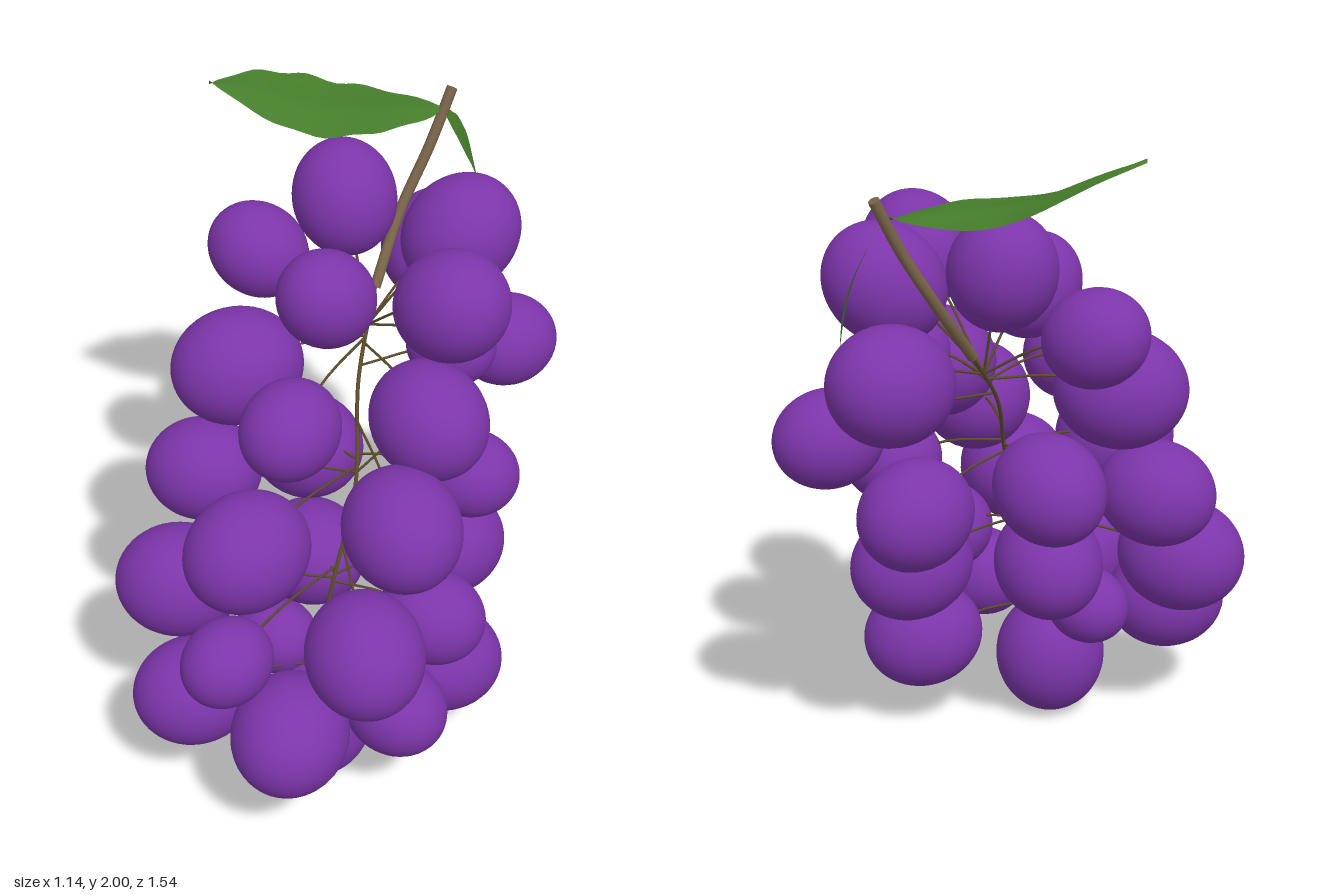
import * as THREE from 'three';

const V = (x, y, z) => new THREE.Vector3(x, y, z);

function material(name, color, side = THREE.FrontSide) {
  const m = new THREE.MeshStandardMaterial({ color, side });
  m.name = name;
  return m;
}

// Berries: centre x, y, z and radius
const BERRIES = [
  [-0.22, 1.67, -0.275, 0.152],
  [-0.42, 1.49, -0.12, 0.137],
  [-0.06, 1.53, 0.01, 0.14],
  [0.095, 1.6, -0.415, 0.163],
  [0.29, 1.59, -0.105, 0.158],
  [-0.11, 1.4, -0.59, 0.166],
  [0.16, 1.17, -0.58, 0.141],
  [0.19, 1.34, -0.25, 0.118],
  [-0.31, 1.25, 0.115, 0.173],
  [0.005, 1.245, 0.255, 0.141],
  [0.27, 1.23, -0.04, 0.166],
  [0.36, 1.03, 0.2, 0.17],
  [-0.365, 0.91, 0.22, 0.156],
  [0, 0.925, 0.45, 0.171],
  [-0.17, 0.94, -0.03, 0.16],
  [0.305, 0.955, -0.205, 0.131],
  [0.03, 0.91, -0.375, 0.16],
  [-0.31, 0.63, 0.41, 0.172],
  [0.065, 0.665, 0.625, 0.126],
  [0.39, 0.72, 0.405, 0.172],
  [0.215, 0.64, -0.22, 0.168],
  [0.375, 0.62, 0.065, 0.143],
  [-0.075, 0.64, 0.07, 0.163],
  [-0.14, 0.38, 0.55, 0.164],
  [0.235, 0.43, 0.555, 0.172],
  [0.385, 0.395, 0.25, 0.142],
  [0.095, 0.2, 0.265, 0.172],
  [0.318, 0.315, -0.08, 0.165],
  [-0.07, 0.43, 0.255, 0.118],
];
// Every berry is a little longer along its twig
const STRETCH = 1.13;

function tube(name, points, radius, mat, segments, sides) {
  const curve = new THREE.CatmullRomCurve3(points);
  const mesh = new THREE.Mesh(new THREE.TubeGeometry(curve, segments, radius, sides), mat);
  mesh.name = name;
  return mesh;
}

// Leaf blade: place(t, s) gives the point at t along the midrib, s across it (-1 to 1)
function leaf(name, place, mat) {
  const geo = new THREE.PlaneGeometry(1, 1, 24, 8);
  const pos = geo.attributes.position;
  for (let i = 0; i < pos.count; i++) {
    const p = place(pos.getX(i) + 0.5, pos.getY(i) * 2);
    pos.setXYZ(i, p.x, p.y, p.z);
  }
  geo.computeVertexNormals();
  const mesh = new THREE.Mesh(geo, mat);
  mesh.name = name;
  return mesh;
}

// Blade half-width: rounded middle, narrow tip, gently wavy rim
const bladeWidth = (t) =>
  Math.pow(Math.max(0, Math.sin(Math.PI * Math.pow(t, 0.9))), 0.85) * (1 + 0.05 * Math.sin(t * 26));

export function createModel() {
  const model = new THREE.Group();
  model.name = 'grapeBunch';
  const skin = material('grapePurple', 0x7c35aa);
  const bark = material('stemBrown', 0x7a644a);
  const twigBrown = material('twigBrown', 0x5c4c2a);
  const green = material('leafGreen', 0x467e2b, THREE.DoubleSide);

  // Main stem, with a flat cut end
  const top = V(-0.1, 1.915, -0.625);
  const stemPoints = [top, V(-0.115, 1.76, -0.545), V(-0.135, 1.58, -0.43), V(-0.11, 1.4, -0.28)];
  model.add(tube('stem', stemPoints, 0.016, bark, 20, 10));
  const cut = new THREE.Mesh(new THREE.CircleGeometry(0.016, 10), bark);
  cut.name = 'stemCutEnd';
  cut.position.copy(top);
  cut.lookAt(top.clone().add(V(0.015, 0.155, -0.08)));
  model.add(cut);

  // Inner stalk running down through the bunch
  const spine = [stemPoints[3], V(-0.03, 1.2, -0.1), V(0.07, 0.95, 0.04), V(0.1, 0.7, 0.18), V(0.08, 0.4, 0.25)];
  model.add(tube('innerStalk', spine, 0.006, twigBrown, 40, 7));

  // Berries, each pointing away from the stalk on a thin curved twig
  const berries = new THREE.Group();
  berries.name = 'berries';
  const twigs = new THREE.Group();
  twigs.name = 'twigs';
  const path = new THREE.CatmullRomCurve3(spine);
  const sphere = new THREE.SphereGeometry(1, 40, 28);
  BERRIES.forEach(([x, y, z, r]) => {
    const centre = V(x, y, z);
    const start = path.getPoint(THREE.MathUtils.clamp(1.38 - y, 0.1, 1));
    const berry = new THREE.Mesh(sphere, skin);
    berry.name = 'berry';
    berry.position.copy(centre);
    berry.scale.set(r, r * STRETCH, r);
    berry.quaternion.setFromUnitVectors(V(0, 1, 0), centre.clone().sub(start).normalize());
    berries.add(berry);

    const mid = start.clone().lerp(centre, 0.5).add(V(0, 0.025, 0));
    twigs.add(tube('twig', [start, mid, centre], 0.004, twigBrown, 8, 5));
  });
  model.add(berries, twigs);

  // Large leaf, curling up towards its tip with one drooping side
  model.add(leaf('largeLeaf', (t, s) => {
    const w = bladeWidth(t) * (s > 0 ? 0.17 : 0.14) * s;
    const x = -0.11 - 0.45 * t - 0.745 * w;
    const z = -0.585 + 0.495 * t - 0.667 * w;
    const rise = THREE.MathUtils.clamp((-0.11 - x) / 0.45, 0, 1.05);
    const droop = 0.045 * Math.max(0, s) * Math.sin(Math.PI * t);
    return V(x, 1.86 + 0.14 * Math.pow(rise, 1.7) - droop + 0.008 * Math.sin(t * 9 + s), z);
  }, green));

  // Small leaf, hanging behind the stem and facing away from it
  model.add(leaf('smallLeaf', (t, s) => {
    const w = bladeWidth(t) * 0.095 * s;
    const bow = 0.02 * Math.sin(Math.PI * t);
    return V(-0.1 + 0.035 * t + 0.67 * w + bow, 1.86 - 0.33 * t - 0.22 * w, -0.585 - 0.14 * t + 0.67 * w - bow);
  }, green));

  return model;
}
